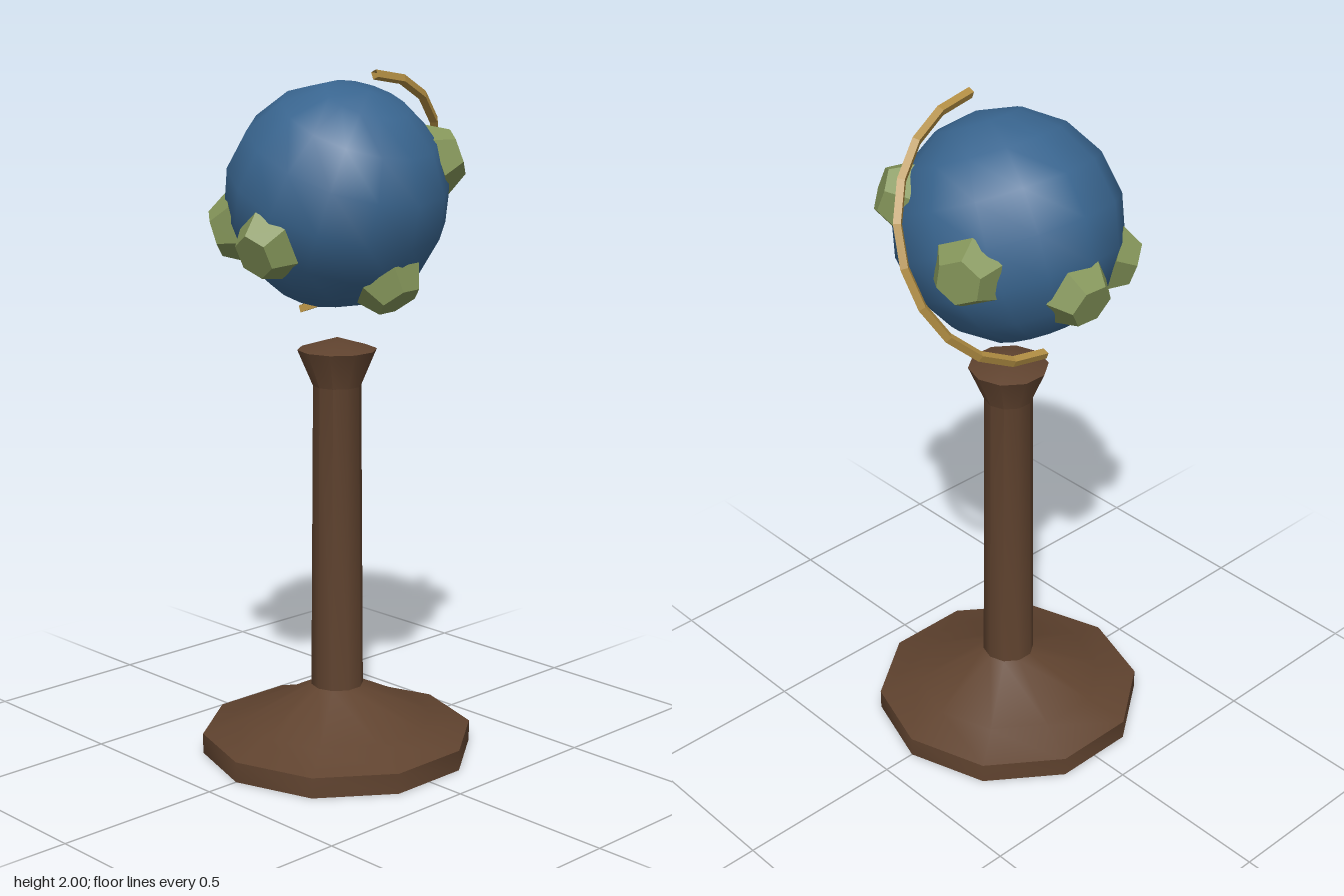
import * as THREE from 'three';
import { toCreasedNormals } from 'three/addons/utils/BufferGeometryUtils.js';

export function createModel() {
  const mat = (name, color, extra = {}) => {
    const m = new THREE.MeshStandardMaterial({ color, ...extra });
    m.name = name;
    return m;
  };
  const wood = mat('darkWood', 0x60432f);
  const ocean = mat('oceanBlue', 0x39658f);
  const land = mat('landGreen', 0x85965a, { flatShading: true });
  const brass = mat('brass', 0xb08c42, { flatShading: true, side: THREE.DoubleSide });

  const model = new THREE.Group();
  model.name = 'globeOnStand';
  const add = (parent, name, geometry, material) => {
    const mesh = new THREE.Mesh(geometry, material);
    mesh.name = name;
    parent.add(mesh);
    return mesh;
  };

  // Turned ten-sided stand: foot, column, flared head with a shallow point
  const profile = [
    [0, 0], [0.4, 0], [0.4, 0.06], [0.28, 0.1], [0.077, 0.2],
    [0.07, 1.1], [0.115, 1.205], [0, 1.24],
  ].map(([r, y]) => new THREE.Vector2(r, y));
  const standGeo = new THREE.LatheGeometry(profile, 10).rotateY(Math.PI / 2);
  add(model, 'stand', toCreasedNormals(standGeo, 0.7), wood);

  // Globe assembly, with its axis tipped forward
  const globe = new THREE.Group();
  globe.name = 'globe';
  globe.position.y = 1.645;
  globe.rotation.x = THREE.MathUtils.degToRad(23.5);
  model.add(globe);

  add(globe, 'ocean', new THREE.SphereGeometry(0.32, 14, 8).rotateY(Math.PI / 2), ocean);

  // Half-ring from pole to pole
  const ringGeo = new THREE.TorusGeometry(0.37, 0.015, 4, 10, Math.PI).rotateZ(-Math.PI / 2);
  add(globe, 'meridianArc', ringGeo, brass);

  // Raised hexagonal land patches, each facing out from the centre
  const landGeo = new THREE.CylinderGeometry(0.066, 0.104, 0.065, 6, 1, false, Math.PI / 6)
    .rotateX(Math.PI / 2);
  const directions = [
    [0.235, 0.172, 0.132], [0.31, -0.06, -0.138], [0.02, -0.149, 0.283],
    [-0.31, -0.118, 0.068], [-0.225, -0.18, -0.162], [0.02, -0.219, -0.254],
  ];
  directions.forEach((d, i) => {
    const patch = new THREE.Mesh(landGeo, land);
    patch.name = `landPatch${i + 1}`;
    patch.position.set(...d).setLength(0.328);
    patch.lookAt(patch.position.clone().multiplyScalar(2));
    globe.add(patch);
  });

  return model;
}
